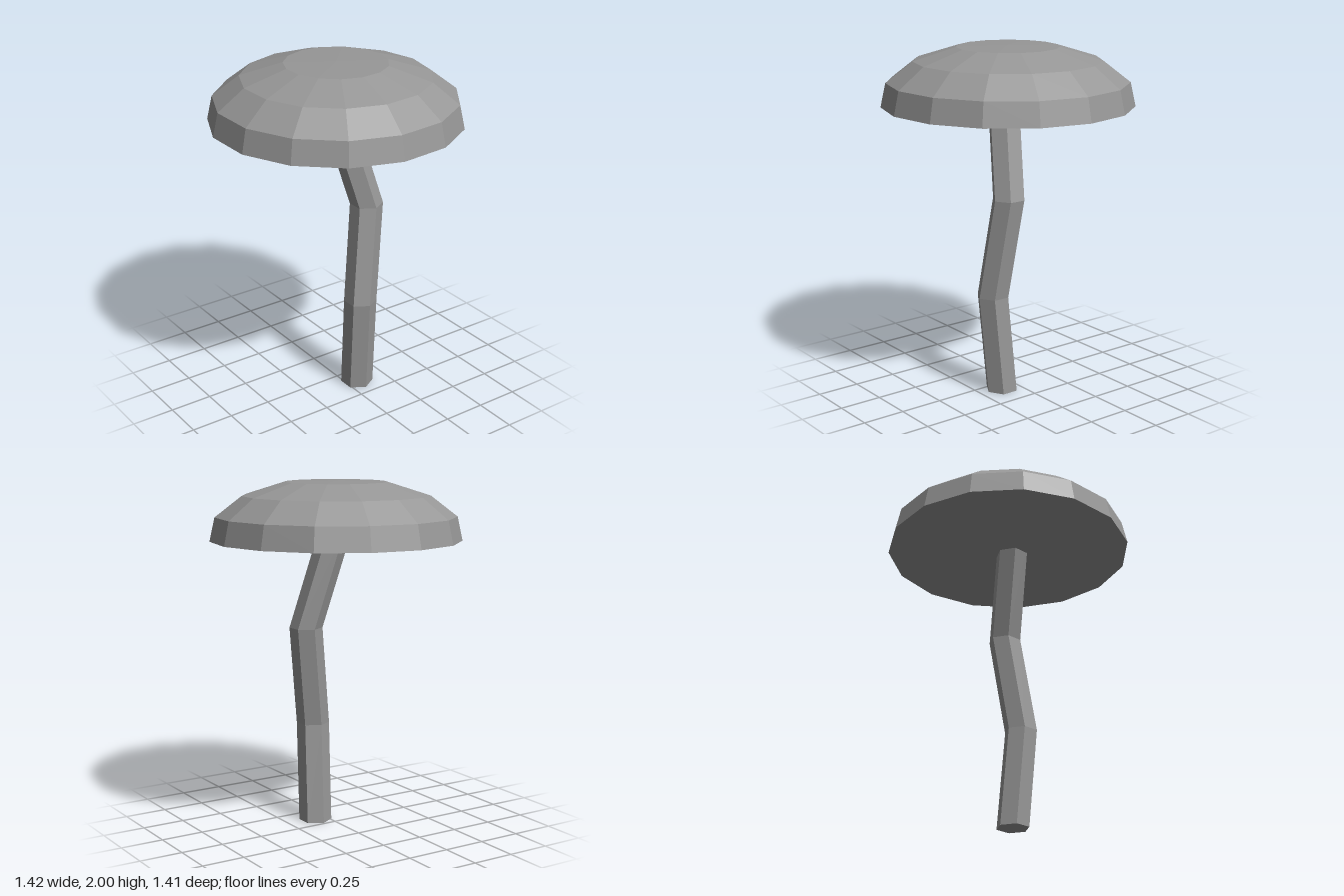
import * as THREE from 'three';

const material = new THREE.MeshStandardMaterial({ color: 0x979797, flatShading: true });

// Fifteen-sided domed cap with a flat underside
function makeCap() {
  const profile = [[0, 1.665], [0.715, 1.665], [0.685, 1.8], [0.533, 1.917], [0.291, 1.993], [0, 2]]
    .map(([r, y]) => new THREE.Vector2(r, y));
  const geometry = new THREE.LatheGeometry(profile, 15);
  geometry.rotateY(Math.PI);
  const cap = new THREE.Mesh(geometry, material);
  cap.name = 'cap';
  cap.position.z = 0.006;
  return cap;
}

// Six-sided crooked stem: each level of a cylinder is shifted sideways
function makeStem() {
  const height = 1.74;
  const centres = [[0.106, -0.071], [0.156, -0.055], [0.102, -0.133], [0.021, 0.024]];
  const geometry = new THREE.CylinderGeometry(0.095, 0.095, height, 6, 3);
  geometry.rotateY(Math.PI / 6);
  geometry.translate(0, height / 2, 0);
  const p = geometry.attributes.position;
  for (let i = 0; i < p.count; i++) {
    const [x, z] = centres[Math.round((p.getY(i) / height) * 3)];
    p.setX(i, p.getX(i) + x);
    p.setZ(i, p.getZ(i) + z);
  }
  geometry.computeVertexNormals();
  const stem = new THREE.Mesh(geometry, material);
  stem.name = 'stem';
  return stem;
}

export function createModel() {
  const group = new THREE.Group();
  group.name = 'mushroom';
  group.add(makeCap(), makeStem());
  return group;
}
